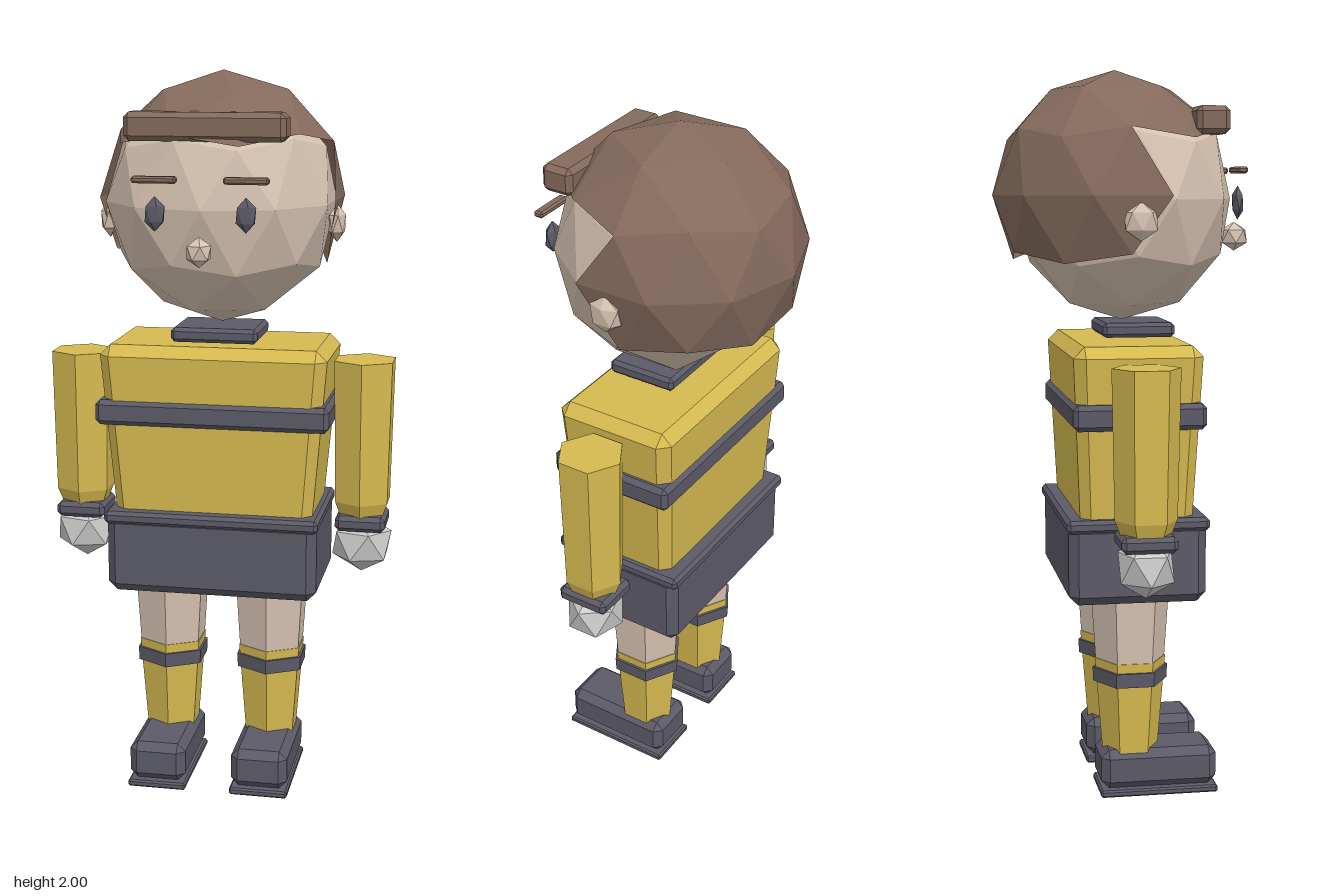
import * as THREE from 'three';
import { ConvexGeometry } from 'three/addons/geometries/ConvexGeometry.js';

const mats = {};
function paint(name, color, extra = {}) {
  mats[name] = new THREE.MeshStandardMaterial({ color, ...extra });
  mats[name].name = name;
}

// Unshared vertices give every facet its own normal
function faceted(geo) {
  const g = geo.index ? geo.toNonIndexed() : geo;
  g.computeVertexNormals();
  return g;
}

// Box with chamfered edges; taper scales the bottom in x and z
function bevelBox(w, h, d, b, taper = 1) {
  const pts = [];
  for (const sx of [-1, 1]) for (const sy of [-1, 1]) for (const sz of [-1, 1]) {
    for (const [ix, iy, iz] of [[0, b, b], [b, 0, b], [b, b, 0]]) {
      const k = sy < 0 ? taper : 1;
      pts.push(new THREE.Vector3(sx * (w / 2 - ix) * k, sy * (h / 2 - iy), sz * (d / 2 - iz) * k));
    }
  }
  return new ConvexGeometry(pts);
}

// Icosphere with a vertex at each pole and an upper ring vertex on +x
function icoGeo(detail) {
  return new THREE.IcosahedronGeometry(1, detail)
    .rotateX(-Math.atan2((1 + Math.sqrt(5)) / 2, 1))
    .rotateY(Math.PI / 2);
}
const ball = (rx, ry, rz, detail = 0) => faceted(icoGeo(detail).scale(rx, ry, rz));

const hexPrism = (rTop, rBottom, h) => faceted(new THREE.CylinderGeometry(rTop, rBottom, h, 6));

// Keep the crown plus the back and sides of an icosphere
function hairGeo(r) {
  const src = icoGeo(1).getAttribute('position');
  const kept = [];
  for (let i = 0; i < src.count; i += 3) {
    const v = [0, 1, 2].map((k) => new THREE.Vector3().fromBufferAttribute(src, i + k));
    const minY = Math.min(...v.map((p) => p.y));
    const midZ = (v[0].z + v[1].z + v[2].z) / 3;
    if (minY > 0.4 || (minY > -0.6 && midZ < 0.2)) v.forEach((p) => kept.push(p.x * r, p.y * r, p.z * r));
  }
  const g = new THREE.BufferGeometry();
  g.setAttribute('position', new THREE.Float32BufferAttribute(kept, 3));
  return faceted(g);
}

export function createModel() {
  paint('yellow cloth', 0xd6ba50);
  paint('dark cloth', 0x5b5a67);
  paint('skin', 0xd6c2b1);
  paint('brown hair', 0x846a5c, { side: THREE.DoubleSide });
  paint('grey glove', 0xcbcbcb);

  const model = new THREE.Group();
  model.name = 'figure';
  function add(name, geo, mat, x, y, z) {
    const m = new THREE.Mesh(geo, mats[mat]);
    m.name = name;
    m.position.set(x, y, z);
    model.add(m);
    return m;
  }

  // Head
  add('head', ball(0.32, 0.335, 0.308, 1), 'skin', 0, 1.65, 0);
  add('hair', hairGeo(0.34), 'brown hair', 0, 1.66, -0.02);
  add('fringe', bevelBox(0.43, 0.075, 0.092, 0.014), 'brown hair', 0, 1.86, 0.216);
  add('nose', ball(0.037, 0.04, 0.042), 'skin', 0, 1.545, 0.32);

  // Torso
  add('collar', bevelBox(0.24, 0.04, 0.2, 0.01), 'dark cloth', 0, 1.293, 0.03);
  add('shirt', bevelBox(0.63, 0.5, 0.35, 0.03, 0.88), 'yellow cloth', 0, 1.015, 0);
  add('chestStripe', bevelBox(0.65, 0.07, 0.36, 0.013), 'dark cloth', 0, 1.078, 0);
  add('shorts', bevelBox(0.59, 0.225, 0.376, 0.025), 'dark cloth', 0, 0.677, 0);
  add('belt', bevelBox(0.6, 0.036, 0.39, 0.01), 'dark cloth', 0, 0.782, 0);

  for (const s of [1, -1]) {
    const side = s > 0 ? 'left' : 'right';

    // Face details
    add(side + 'Eye', ball(0.03, 0.046, 0.017), 'dark cloth', s * 0.12, 1.64, 0.302);
    add(side + 'Brow', bevelBox(0.118, 0.018, 0.028, 0.005), 'brown hair', s * 0.121, 1.728, 0.303);
    add(side + 'Ear', ball(0.026, 0.052, 0.05), 'skin', s * 0.318, 1.594, 0);

    // Arm
    add(side + 'Sleeve', hexPrism(0.092, 0.084, 0.4), 'yellow cloth', s * 0.402, 1.02, 0);
    add(side + 'SleeveEnd', hexPrism(0.084, 0.068, 0.04), 'yellow cloth', s * 0.402, 0.8, 0);
    add(side + 'Cuff', bevelBox(0.14, 0.044, 0.15, 0.012), 'dark cloth', s * 0.402, 0.764, 0);
    add(side + 'Hand', ball(0.093, 0.085, 0.084), 'grey glove', s * 0.402, 0.695, 0);

    // Leg
    const x = s * 0.146;
    add(side + 'Leg', hexPrism(0.112, 0.094, 0.27), 'skin', x, 0.465, 0);
    add(side + 'Sock', hexPrism(0.1, 0.078, 0.27), 'yellow cloth', x, 0.247, 0);
    add(side + 'SockBand', hexPrism(0.106, 0.104, 0.04), 'dark cloth', x, 0.336, 0);
    add(side + 'Shoe', bevelBox(0.16, 0.11, 0.325, 0.022), 'dark cloth', x, 0.076, 0.072);
    add(side + 'Sole', bevelBox(0.165, 0.02, 0.33, 0.005), 'dark cloth', x, 0.01, 0.072);
  }
  return model;
}
